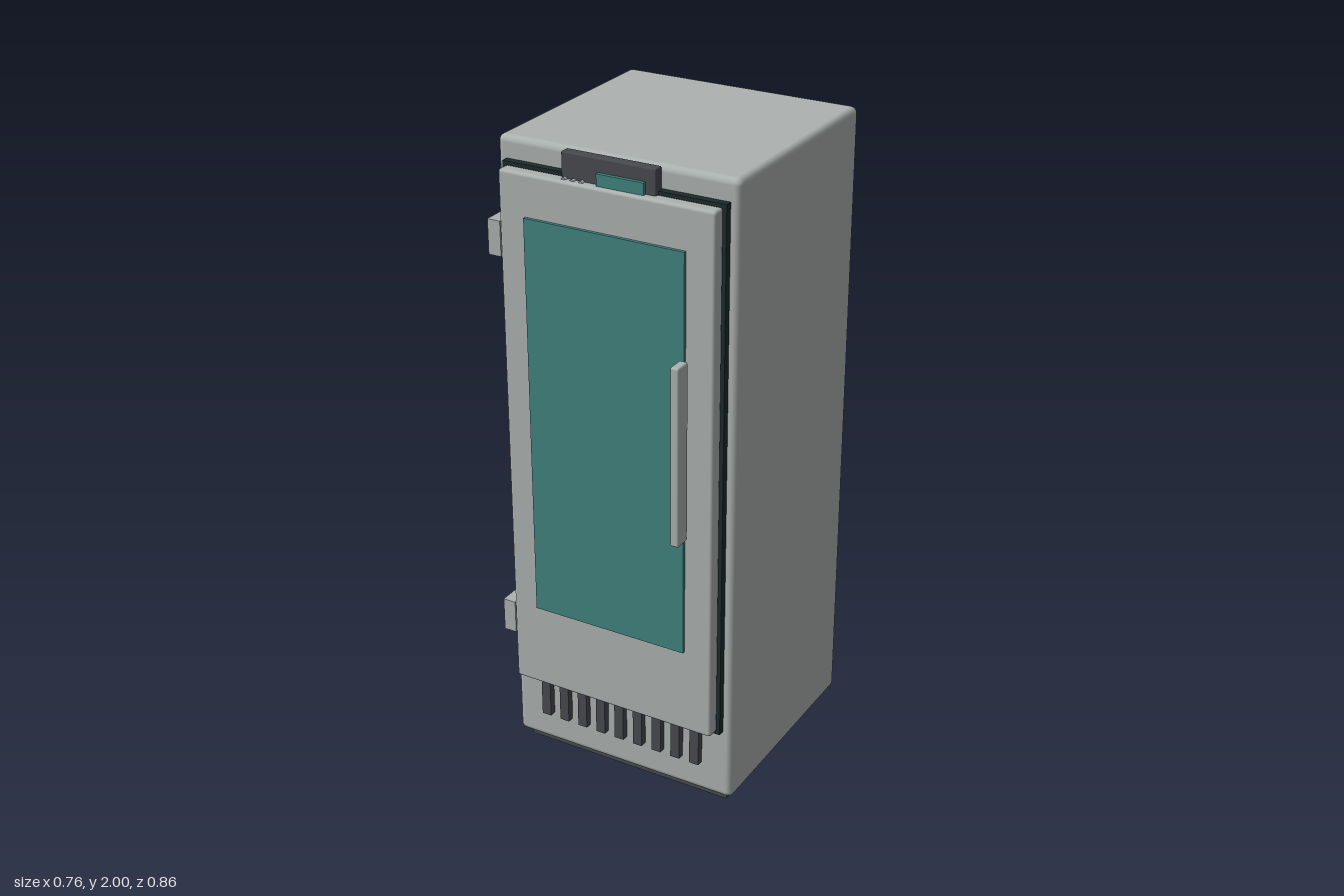
import * as THREE from 'three';
import { RoundedBoxGeometry } from 'three/addons/geometries/RoundedBoxGeometry.js';

const material = (name, color) => {
  const m = new THREE.MeshStandardMaterial({ color });
  m.name = name;
  return m;
};

export function createModel() {
  const steel = material('steel', 0xadb3b1);
  const charcoal = material('charcoal', 0x484a50);
  const rubber = material('rubber', 0x1e2b2b);
  const glass = material('teal glass', 0x428380);

  const model = new THREE.Group();
  model.name = 'uprightFridge';

  // Box given by its minimum and maximum on each axis, optionally rounded
  const box = (name, mat, [x0, x1], [y0, y1], [z0, z1], radius = 0) => {
    const size = [x1 - x0, y1 - y0, z1 - z0];
    const geometry = radius
      ? new RoundedBoxGeometry(...size, 3, radius)
      : new THREE.BoxGeometry(...size);
    const mesh = new THREE.Mesh(geometry, mat);
    mesh.name = name;
    mesh.position.set((x0 + x1) / 2, (y0 + y1) / 2, (z0 + z1) / 2);
    model.add(mesh);
    return mesh;
  };

  // Cabinet on a recessed plinth
  box('cabinet', steel, [-0.38, 0.38], [0.025, 2], [-0.428, 0.29], 0.02);
  box('plinth', charcoal, [-0.35, 0.35], [0, 0.06], [-0.395, 0.262]);

  // Door with its seal, window and handle
  box('doorSeal', rubber, [-0.35, 0.35], [0.265, 1.935], [0.28, 0.312]);
  box('door', steel, [-0.34, 0.34], [0.275, 1.925], [0.308, 0.352], 0.01);
  box('window', glass, [-0.254, 0.252], [0.55, 1.8], [0.352, 0.362]);
  box('handle', steel, [0.245, 0.272], [0.94, 1.492], [0.373, 0.427], 0.006);

  // Hinges on the model's right side
  for (const y of [0.482, 1.717]) {
    box('hinge', steel, [-0.383, -0.342], [y - 0.053, y + 0.053], [0.285, 0.348]);
  }

  // Control panel above the door
  box('controlPanel', charcoal, [-0.149, 0.146], [1.9, 2], [0.295, 0.327], 0.004);
  box('display', glass, [-0.032, 0.115], [1.91, 1.96], [0.325, 0.339]);
  for (let i = 0; i < 3; i++) {
    const button = new THREE.Mesh(new THREE.CylinderGeometry(0.007, 0.007, 0.016, 16), steel);
    button.name = 'button';
    button.rotation.x = Math.PI / 2;
    button.position.set(-0.136 + i * 0.0275, 1.923, 0.331);
    model.add(button);
  }

  // Ventilation slats below the door
  for (let i = -4; i <= 4; i++) {
    const x = i * 0.0657;
    box('ventSlat', charcoal, [x - 0.0155, x + 0.0155], [0.13, 0.27], [0.28, 0.312]);
  }

  return model;
}
